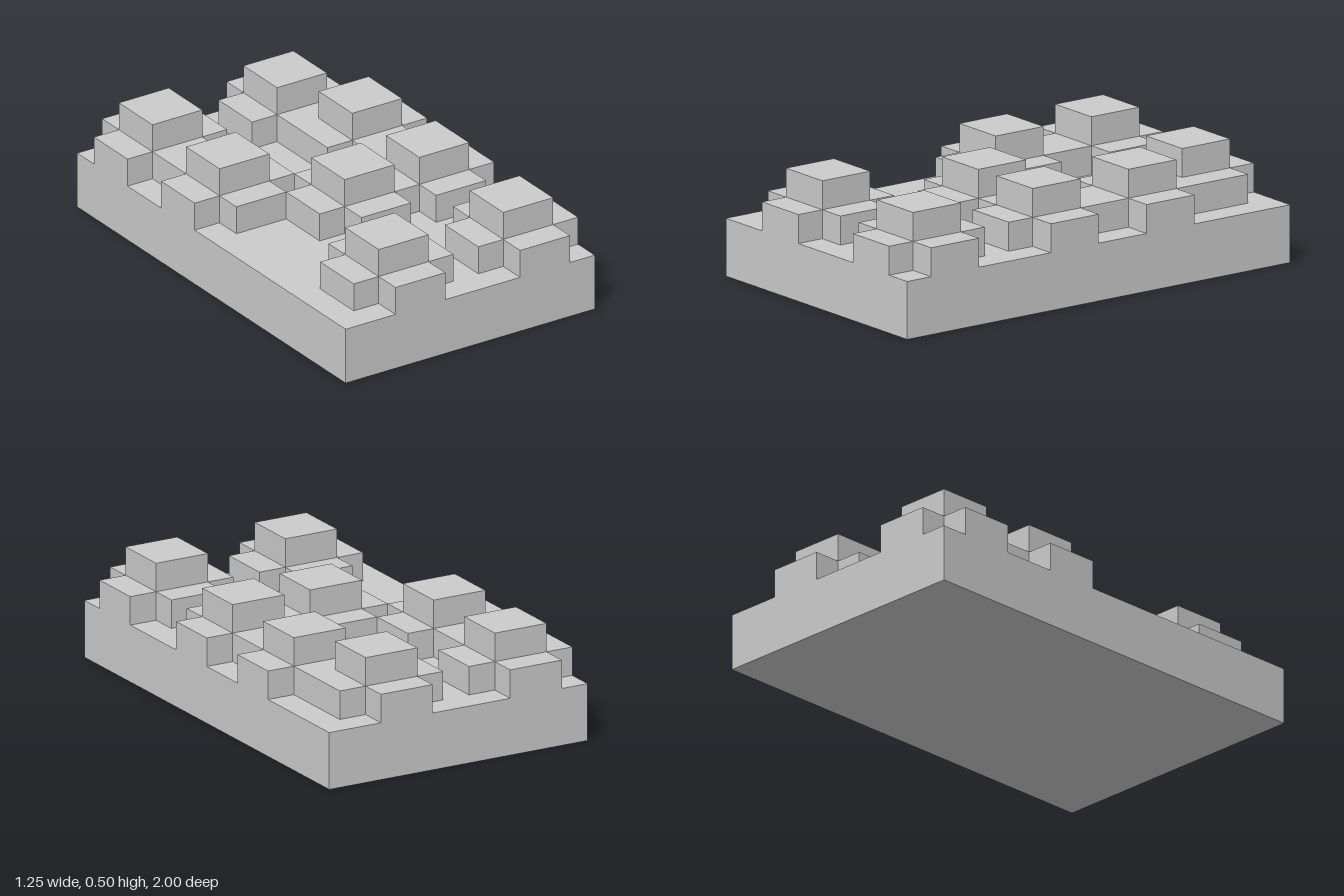
import * as THREE from 'three';

const U = 0.125; // one grid cell

// Plus-shaped outline: 4 cells across, arms 2 cells wide
function plusShape() {
  const a = U, b = 2 * U;
  return new THREE.Shape([
    [-a, -b], [a, -b], [a, -a], [b, -a], [b, a], [a, a],
    [a, b], [-a, b], [-a, a], [-b, a], [-b, -a], [-a, -a],
  ].map(([x, y]) => new THREE.Vector2(x, y)));
}

export function createModel() {
  const model = new THREE.Group();
  model.name = 'steppedTile';
  const material = new THREE.MeshStandardMaterial({ color: 0xcccccc, flatShading: true });

  const addMesh = (parent, name, geometry, y) => {
    const mesh = new THREE.Mesh(geometry, material);
    mesh.name = name;
    mesh.position.y = y;
    parent.add(mesh);
  };

  // Base slab
  addMesh(model, 'base', new THREE.BoxGeometry(10 * U, 2 * U, 16 * U), U);

  // Mounds: a plus-shaped step with a square cap
  const stepGeometry = new THREE.ExtrudeGeometry(plusShape(), { depth: U, bevelEnabled: false });
  stepGeometry.rotateX(-Math.PI / 2);
  const capGeometry = new THREE.BoxGeometry(2 * U, U, 2 * U);

  // Mound centres in grid cells (x, z)
  const centres = [
    [-2, 6], [3, 6],
    [0, 1], [3, 1],
    [-3, -2], [3, -3],
    [-3, -6], [2, -6],
  ];
  centres.forEach(([x, z], i) => {
    const mound = new THREE.Group();
    mound.name = `mound${i + 1}`;
    mound.position.set(x * U, 2 * U, z * U);
    addMesh(mound, 'plusStep', stepGeometry, 0);
    addMesh(mound, 'cap', capGeometry, 1.5 * U);
    model.add(mound);
  });

  return model;
}
